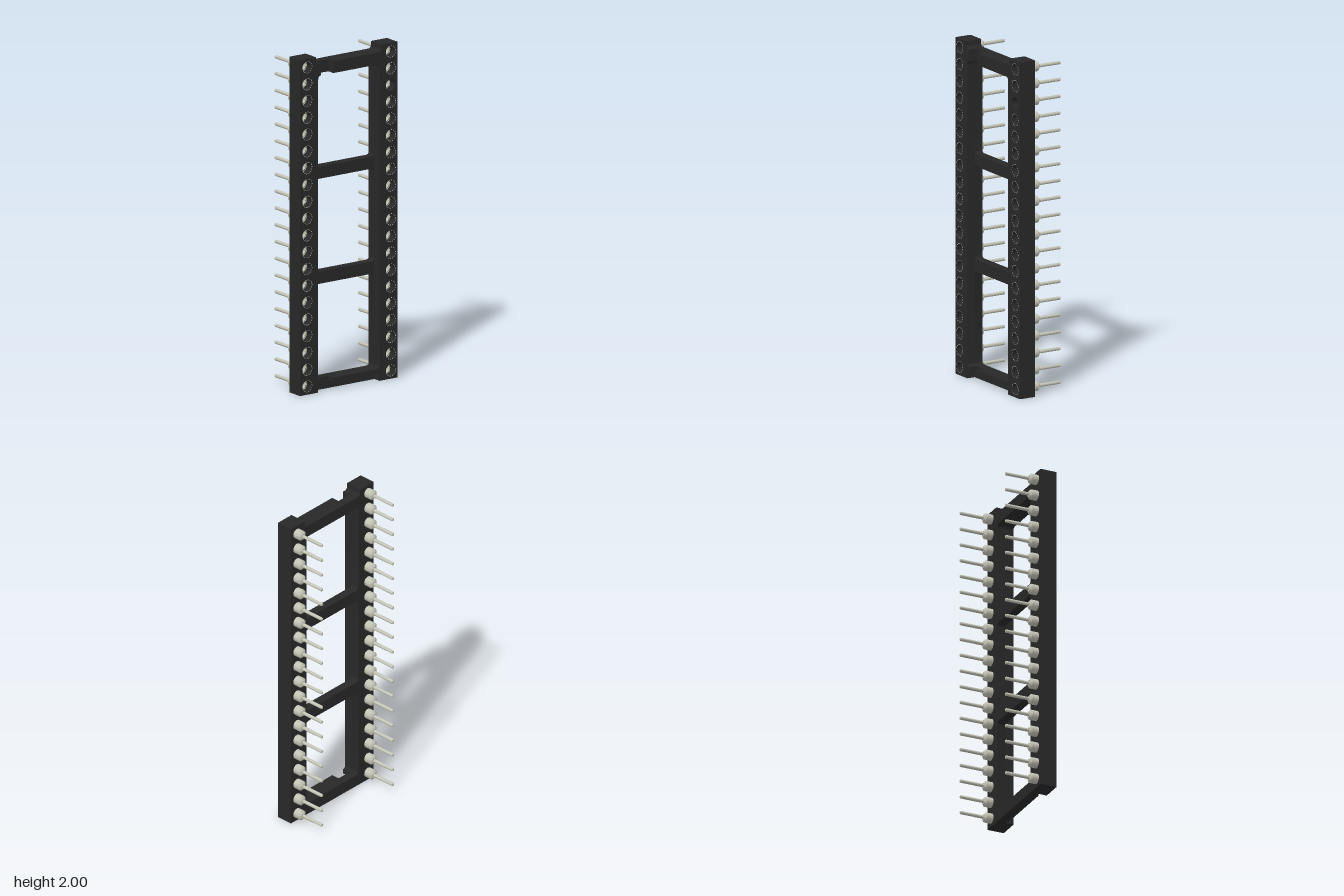
import * as THREE from 'three';
import { toCreasedNormals, mergeGeometries } from 'three/addons/utils/BufferGeometryUtils.js';

const BACK = 0.047, MID = 0.1, FRONT = 0.15;   // layers in z
const IN = 0.22, TAB = 0.2, R = 0.02;          // rail inner edge, tab edge, fillet
const BARS = [[0, 0.072], [0.63, 0.703], [1.256, 1.328], [1.886, 1.958]];
const TOP = BARS[3][1], LIP = 0.045;
const PINS = 20, COLLAR = 0.03, SOCKET = 0.034;
const pinY = (i) => 0.05 + i * 0.1;

// Round holes along one rail
function addHoles(shape, side, radius) {
  for (let i = 0; i < PINS; i++) {
    const hole = new THREE.Path();
    hole.absarc(side * 0.3, pinY(i), radius, 0, Math.PI * 2, false);
    shape.holes.push(hole);
  }
}

function extrude(shape, z0, z1) {
  const g = new THREE.ExtrudeGeometry(shape, { depth: z1 - z0, bevelEnabled: false, curveSegments: 8 });
  g.translate(0, 0, z0);
  return toCreasedNormals(g, 0.7);
}

// Ladder frame, rear half of the thickness
function frameShape() {
  const s = new THREE.Shape();
  s.moveTo(-0.35, 0).lineTo(0.35, 0).lineTo(0.35, 2).lineTo(0.235, 2).lineTo(0.235, TOP + R);
  s.quadraticCurveTo(0.235, TOP, 0.215, TOP).lineTo(-0.215, TOP);
  s.quadraticCurveTo(-0.235, TOP, -0.235, TOP + R).lineTo(-0.235, 2).lineTo(-0.35, 2).closePath();
  for (let i = 0; i < 3; i++) {
    const b = BARS[i][1], t = BARS[i + 1][0], w = new THREE.Path();
    w.moveTo(-IN, b + R).lineTo(-IN, t - R).quadraticCurveTo(-IN, t, -TAB, t);
    w.lineTo(TAB, t).quadraticCurveTo(IN, t, IN, t - R);
    w.lineTo(IN, b + R).quadraticCurveTo(IN, b, TAB, b);
    w.lineTo(-TAB, b).quadraticCurveTo(-IN, b, -IN, b + R);
    s.holes.push(w);
  }
  addHoles(s, -1, COLLAR);
  addHoles(s, 1, COLLAR);
  return s;
}

// Front half of a rail, with filleted tabs at the end crossbars
function railShape(k) {
  const s = new THREE.Shape();
  const low = BARS[0][1], high = BARS[3][0];
  s.moveTo(k * 0.35, 0).lineTo(k * 0.35, 2).lineTo(k * 0.235, 2).lineTo(k * 0.235, TOP + R);
  s.quadraticCurveTo(k * 0.235, TOP, k * 0.215, TOP).lineTo(k * TAB, TOP).lineTo(k * TAB, high);
  s.quadraticCurveTo(k * IN, high, k * IN, high - R).lineTo(k * IN, low + R);
  s.quadraticCurveTo(k * IN, low, k * TAB, low).lineTo(k * TAB, LIP);
  s.lineTo(k * IN, LIP).lineTo(k * IN, 0).closePath();
  addHoles(s, k, SOCKET);
  return s;
}

export function createModel() {
  const model = new THREE.Group();
  const plastic = new THREE.MeshStandardMaterial({ color: 0x282828 });
  plastic.name = 'black plastic';
  const metal = new THREE.MeshStandardMaterial({ color: 0xc4c4b6 });
  metal.name = 'tinned metal';
  const add = (name, geometry, material, parent = model) => {
    const m = new THREE.Mesh(geometry, material);
    m.name = name;
    parent.add(m);
    return m;
  };

  // Plastic body
  add('ladderFrame', extrude(frameShape(), BACK, MID), plastic);
  add('leftRail', extrude(railShape(1), MID, FRONT), plastic);
  add('rightRail', extrude(railShape(-1), MID, FRONT), plastic);

  // Front lips on the end crossbars, leaving a notch on the right
  const lip = (name, y0, y1) => {
    const g = new THREE.BoxGeometry(0.31, y1 - y0, FRONT - MID);
    g.translate(0.045, (y0 + y1) / 2, (FRONT + MID) / 2);
    add(name, g, plastic);
  };
  lip('topLip', BARS[3][0], TOP);
  lip('bottomLip', LIP, BARS[0][1]);

  // Turned pin: thin leg, chamfered collar, funnel socket inside the body
  const profile = [
    [0, -0.153], [0.008, -0.153], [0.01, -0.148], [0.01, -0.005], [0.017, -0.005],
    [0.03, 0.006], [0.03, 0.1], [0.034, 0.1], [0.034, 0.102], [0.014, 0.085], [0.014, 0.07], [0, 0.07],
  ].map(([r, z]) => new THREE.Vector2(r, z));
  const lathe = new THREE.LatheGeometry(profile, 16);
  lathe.rotateX(Math.PI / 2);
  const pinGeo = toCreasedNormals(lathe, 0.6);

  // Broken rim of the socket mouth
  const dashes = [];
  for (let i = 0; i < 14; i++) {
    dashes.push(new THREE.RingGeometry(0.032, 0.036, 1, 1, (i / 14) * Math.PI * 2, Math.PI / 14));
  }
  const rimGeo = mergeGeometries(dashes);
  rimGeo.translate(0, 0, FRONT + 0.002);

  for (const side of [-1, 1]) {
    const row = new THREE.Group();
    row.name = side > 0 ? 'leftPins' : 'rightPins';
    model.add(row);
    for (let i = 0; i < PINS; i++) {
      add('pin', pinGeo, metal, row).position.set(side * 0.3, pinY(i), 0);
      if (side > 0 && i === 17) continue; // one socket has no rim
      add('socketRim', rimGeo, metal, row).position.set(side * 0.3, pinY(i), 0);
    }
  }
  return model;
}
